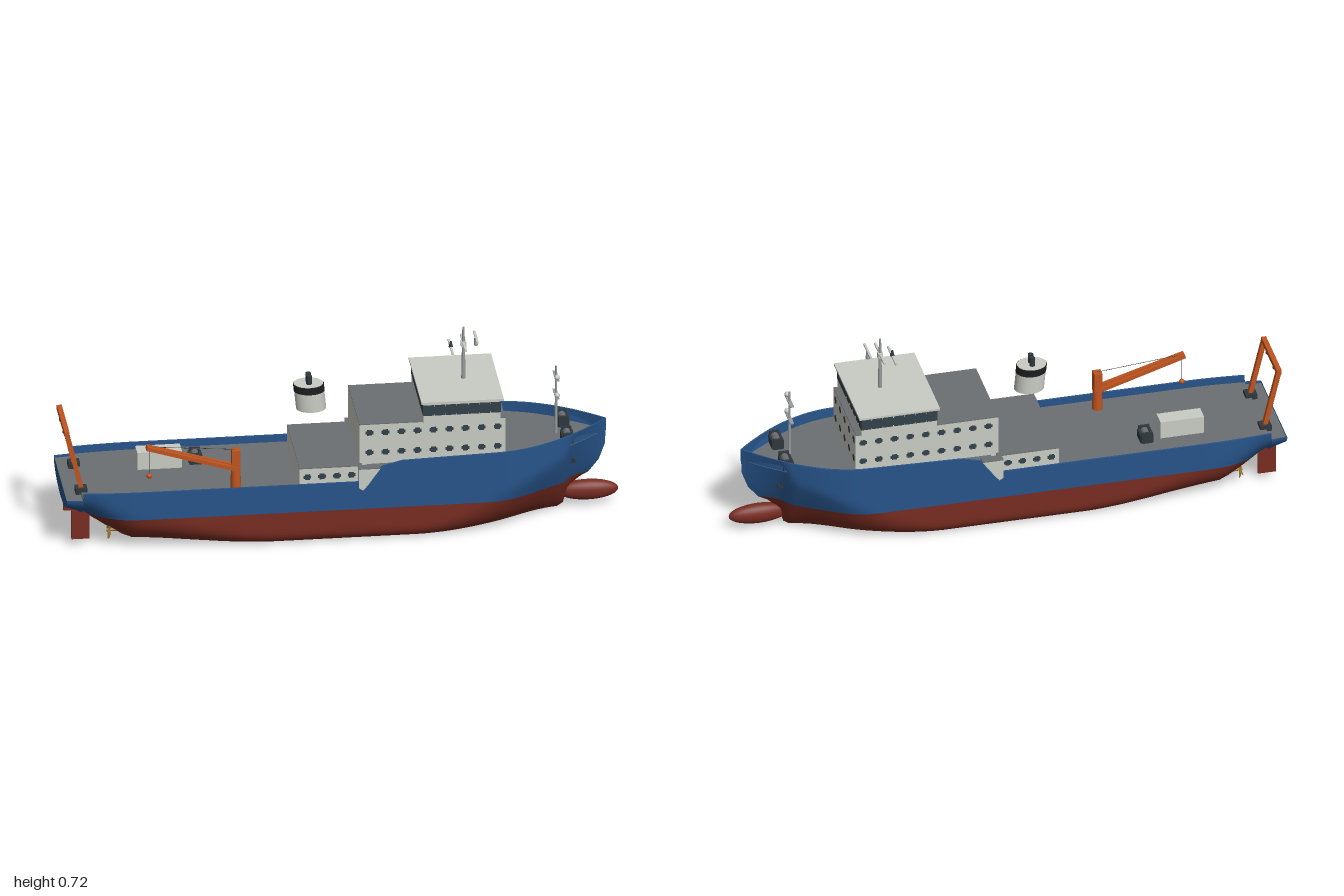
import * as THREE from 'three';
import { toCreasedNormals } from 'three/addons/utils/BufferGeometryUtils.js';

const mat = (name, color, side = THREE.FrontSide) => {
  const m = new THREE.MeshStandardMaterial({ color, side });
  m.name = name;
  return m;
};
const { lerp, clamp, smoothstep } = THREE.MathUtils;

// piecewise linear lookup in [x, value] pairs
function lookup(t, x) {
  if (x <= t[0][0]) return t[0][1];
  for (let i = 1; i < t.length; i++) {
    if (x <= t[i][0]) return lerp(t[i - 1][1], t[i][1], (x - t[i - 1][0]) / (t[i][0] - t[i - 1][0]));
  }
  return t[t.length - 1][1];
}

// skin between rows of points
function loft(rows) {
  const out = [];
  const tri = (a, b, c) => {
    const area = b.clone().sub(a).cross(c.clone().sub(a)).length();
    if (area > 1e-9) [a, b, c].forEach((p) => out.push(p.x, p.y, p.z));
  };
  for (let i = 0; i + 1 < rows.length; i++) {
    for (let j = 0; j + 1 < rows[i].length; j++) {
      const [a, b, c, d] = [rows[i][j], rows[i + 1][j], rows[i + 1][j + 1], rows[i][j + 1]];
      tri(a, b, c);
      tri(a, c, d);
    }
  }
  const g = new THREE.BufferGeometry();
  g.setAttribute('position', new THREE.Float32BufferAttribute(out, 3));
  return toCreasedNormals(g, 0.6);
}

// hull rules along the length
const WATERLINE = 0.128;
const KEEL = [[-1, 0.14], [-0.95, 0.115], [-0.84, 0.04], [-0.77, 0], [0.78, 0], [0.8, 0.012], [0.815, 0.06],
  [0.84, 0.1], [0.893, 0.128], [0.93, 0.175], [0.952, 0.235], [0.957, 0.335]];
const TOP = [[-0.941, 0.207], [-0.94, 0.235], [0.045, 0.235], [0.13, 0.292], [0.2, 0.31], [0.6, 0.322], [0.957, 0.335]];
const DECK = [[-0.941, 0.2], [-0.94, 0.208], [0.06, 0.208], [0.08, 0.28], [0.957, 0.29]];
const halfBeam = (x) => {
  if (x > 0.55) return 0.215 * Math.max(0, 1 - ((x - 0.55) / 0.407) ** 1.9);
  return 0.215 - 0.02 * Math.max(0, (-0.7 - x) / 0.3) ** 2;
};
function station(x) {
  const k = lookup(KEEL, x), top = lookup(TOP, x), b = halfBeam(x);
  const fore = smoothstep(x, 0.25, 0.85), aft = smoothstep(-x, 0.25, 0.85);
  const rise = Math.min(0.05 + 0.2 * fore + 0.1 * aft, top - k);
  const inset = Math.min(b, lerp(0.05, b, fore) + 0.15 * aft);
  // round bilge amidships, blending to a V with flare at the bow
  const z = (y) => {
    const s = rise > 1e-5 ? clamp((y - k) / rise, 0, 1) : 1;
    const round = Math.sqrt(1 - (1 - s) ** 2);
    return b - inset * (1 - lerp(round, s ** 0.75, fore * fore));
  };
  return { k, top, b, z, w: Math.max(k, WATERLINE) };
}

export function createModel() {
  const ship = new THREE.Group();
  ship.name = 'supportShip';
  const blue = mat('hullBlue', 0x27548a, THREE.DoubleSide);
  const red = mat('bottomRed', 0x782c21, THREE.DoubleSide);
  const gray = mat('deckGray', 0x6b6f72, THREE.DoubleSide);
  const light = mat('houseLight', 0xc9ccc4);
  const dark = mat('machineryDark', 0x2f383e);
  const glass = mat('windowGlass', 0x33414a);
  const black = mat('funnelBlack', 0x1e1e20);
  const orange = mat('craneOrange', 0xc0541f);
  const bronze = mat('propellerBronze', 0xa07c40);
  const steel = mat('mastSteel', 0x969b9c);

  const add = (name, geo, m, x = 0, y = 0, z = 0) => {
    const o = new THREE.Mesh(geo, m);
    o.name = name;
    o.position.set(x, y, z);
    ship.add(o);
    return o;
  };
  // box given by its limits
  const box = (name, m, x0, x1, y0, y1, z0, z1) =>
    add(name, new THREE.BoxGeometry(x1 - x0, y1 - y0, z1 - z0), m, (x0 + x1) / 2, (y0 + y1) / 2, (z0 + z1) / 2);
  const cyl = (name, m, r0, r1, y0, y1, x, z, n = 16) =>
    add(name, new THREE.CylinderGeometry(r1, r0, y1 - y0, n), m, x, (y0 + y1) / 2, z);
  // straight beam between two points
  const beam = (name, m, a, b, w, square = true) => {
    const p = new THREE.Vector3(...a), q = new THREE.Vector3(...b), d = q.clone().sub(p), l = d.length();
    const g = square ? new THREE.BoxGeometry(w, l, w) : new THREE.CylinderGeometry(w / 2, w / 2, l, 10);
    const o = add(name, g, m);
    o.position.copy(p).add(q).multiplyScalar(0.5);
    o.quaternion.setFromUnitVectors(new THREE.Vector3(0, 1, 0), d.normalize());
    return o;
  };

  // hull
  const xs = [-0.941, 0.045, 0.06, 0.08, 0.13, 0.78, 0.815, 0.893, 0.952, 0.957];
  for (let i = 0; i <= 64; i++) xs.push(-1 + i * 0.03);
  for (let i = 0; i <= 6; i++) xs.push(0.925 + i * 0.005);
  xs.sort((a, b) => a - b);
  const V = (x, y, z) => new THREE.Vector3(x, y, z);
  const bottomRow = (x) => {
    const s = station(x), side = [];
    for (let j = 0; j <= 12; j++) {
      const y = lerp(s.k, s.w, (j / 12) ** 2);
      side.push([y, s.z(y)]);
    }
    return [...side.slice().reverse().map(([y, z]) => V(x, y, -z)), ...side.map(([y, z]) => V(x, y, z))];
  };
  const sideRow = (x, sign, inner = true) => {
    const s = station(x), row = [], zi = Math.max(s.b - 0.007, 0);
    for (let j = 0; j <= 8; j++) {
      const y = lerp(s.w, s.top, j / 8);
      row.push(V(x, y, sign * s.z(y)));
    }
    if (inner) row.push(V(x, s.top, sign * zi), V(x, lookup(DECK, x) - 0.004, sign * zi));
    return row;
  };
  add('hullBottom', loft(xs.map(bottomRow)), red);
  for (const s of [-1, 1]) add('hullSide', loft(xs.map((x) => sideRow(x, s))), blue);
  add('transom', loft([sideRow(-1, -1, false), sideRow(-1, 1, false)]), blue);
  add('deck', loft(xs.filter((x) => x < 0.945).map((x) => {
    const y = lookup(DECK, x), z = Math.max(halfBeam(x) - 0.005, 0);
    return [V(x, y, z), V(x, y, -z)];
  })), gray);
  add('bulbousBow', new THREE.SphereGeometry(1, 32, 20), red, 0.89, 0.058, 0).scale.set(0.11, 0.038, 0.03);

  // rudders, propellers, anchors and side steps
  const stepShape = new THREE.Shape([[0.045, 0.283], [0.045, 0.21], [0.06, 0.2], [0.078, 0.222], [0.098, 0.25],
    [0.122, 0.283]].map((p) => new THREE.Vector2(...p)));
  for (const s of [-1, 1]) {
    box('rudder', red, -0.975, -0.91, 0.025, 0.135, s * 0.12 - 0.006, s * 0.12 + 0.006);
    beam('propellerShaft', bronze, [-0.85, 0.058, s * 0.13], [-0.76, 0.058, s * 0.13], 0.012, false);
    for (let i = 0; i < 4; i++) {
      const blade = add('propellerBlade', new THREE.BoxGeometry(0.004, 0.032, 0.014).translate(0, 0.017, 0),
        bronze, -0.842, 0.058, s * 0.13);
      blade.rotation.set(i * Math.PI / 2, 0.5, 0);
    }
    const az = station(0.825).z(0.215);
    box('anchorShank', dark, 0.822, 0.829, 0.2, 0.226, s * az - 0.004, s * az + 0.004);
    for (const x of [0.813, 0.834]) box('anchorFluke', dark, x - 0.004, x + 0.004, 0.2, 0.214, s * az - 0.004, s * az + 0.004);
    box('anchorCrown', dark, 0.811, 0.838, 0.2, 0.206, s * az - 0.004, s * az + 0.004);
    add('sideStep', new THREE.ExtrudeGeometry(stepShape, { depth: 0.033, bevelEnabled: false }), light,
      0, 0, s > 0 ? 0.183 : -0.216);
    box('stepTop', gray, 0.045, 0.122, 0.283, 0.286, s * 0.1995 - 0.0165, s * 0.1995 + 0.0165);
  }

  // deckhouses with gray roofs
  const house = (name, x0, x1, y0, y1, h) => {
    box(name, light, x0, x1, y0, y1, -h, h);
    box(name + 'Roof', gray, x0, x1, y1, y1 + 0.003, -h, h);
  };
  house('lowerHouse', -0.165, 0.06, 0.2, 0.282, 0.185);
  house('mainHouse', 0.052, 0.575, 0.2, 0.434, 0.165);
  box('bridge', light, 0.28, 0.557, 0.435, 0.516, -0.177, 0.177);
  box('bridgeWindows', glass, 0.279, 0.558, 0.463, 0.504, -0.178, 0.178);
  box('bridgeRoof', light, 0.272, 0.567, 0.513, 0.521, -0.191, 0.191);
  for (const z of [-0.135, -0.09, -0.045, 0, 0.045, 0.09, 0.135]) for (const y of [0.465, 0.5]) {
    box('mullion', light, 0.557, 0.559, y - 0.002, y + 0.004, z - 0.001, z + 0.001);
  }
  for (const s of [-1, 1]) for (let i = 1; i < 7; i++) for (const y of [0.465, 0.5]) {
    const x = 0.28 + i * 0.04;
    box('mullion', light, x - 0.001, x + 0.001, y - 0.002, y + 0.004, s * 0.178 - 0.001, s * 0.178 + 0.001);
  }

  // cross-shaped windows, almost flush with the walls
  const flush = 0.0003;
  const sideWindow = (x, y, z) => {
    for (const [w, h] of [[0.014, 0.006], [0.009, 0.011]]) box('window', glass, x - w, x + w, y - h, y + h, z - flush, z + flush);
  };
  for (const s of [-1, 1]) {
    for (const y of [0.325, 0.402]) for (let i = 0; i < 9; i++) sideWindow(0.088 + i * 0.0575, y, s * 0.165);
    for (let i = 0; i < 4; i++) sideWindow(-0.137 + i * 0.053, 0.25, s * 0.185);
  }
  for (const y of [0.325, 0.402]) for (let i = -2; i <= 2; i++) {
    for (const [w, h] of [[0.016, 0.007], [0.009, 0.013]]) {
      box('frontWindow', glass, 0.575 - flush, 0.575 + flush, y - h, y + h, i * 0.067 - w, i * 0.067 + w);
    }
  }

  // raked funnel with a light top and exhaust pipes
  const funnelPart = (name, m, y0, y1, r) => {
    const g = new THREE.CylinderGeometry(r, r, y1 - y0, 32);
    g.scale(1.2, 1, 1).translate(0, (y0 + y1) / 2, 0);
    const p = g.attributes.position;
    for (let i = 0; i < p.count; i++) p.setX(i, p.getX(i) - 0.1 * (p.getY(i) - 0.485));
    add(name, g, m, -0.106);
  };
  funnelPart('funnel', light, 0.435, 0.505, 0.045);
  funnelPart('funnelBand', black, 0.505, 0.532, 0.046);
  funnelPart('funnelTop', light, 0.532, 0.534, 0.044);
  for (const z of [-0.012, 0.012]) cyl('exhaustPipe', dark, 0.01, 0.01, 0.532, 0.567, -0.11, z);

  // main mast with yard and radars
  cyl('mainMast', steel, 0.008, 0.004, 0.52, 0.722, 0.445, 0);
  box('mastHead', light, 0.436, 0.454, 0.645, 0.666, -0.01, 0.01);
  for (const [x, y, h] of [[0.4, 0.645, 0.06], [0.445, 0.66, 0.07], [0.49, 0.678, 0.049]]) {
    box('radarBar', light, x - 0.004, x + 0.004, y - 0.0035, y + 0.0035, -h, h);
  }
  cyl('radarPost', dark, 0.008, 0.003, 0.646, 0.668, 0.4, 0, 10);
  cyl('radarPost', steel, 0.008, 0.006, 0.648, 0.678, 0.49, 0, 10);

  // foremast with lamps
  cyl('foremast', steel, 0.006, 0.003, 0.28, 0.55, 0.777, 0);
  for (const y of [0.44, 0.51]) {
    box('lampArm', steel, 0.77, 0.784, y - 0.002, y + 0.002, -0.04, 0.045);
    add('lamp', new THREE.SphereGeometry(0.01, 16, 12), light, 0.777, y + 0.01, 0.034);
  }

  // winches and deck cargo
  const winch = (x, z, y, w, d) => {
    box('winchBase', dark, x - w, x + w, y, y + 0.008, z - d, z + d);
    for (const s of [-1, 1]) box('winchCheek', dark, x - w, x + w, y, y + 0.042, z + s * d - 0.005, z + s * d + 0.005);
    beam('winchDrum', gray, [x, y + 0.024, z - d], [x, y + 0.024, z + d], 0.028, false);
    for (const s of [-1, 1]) box('winchRail', dark, x + s * w - 0.004, x + s * w + 0.004, y, y + 0.03, z - d, z + d);
  };
  for (const s of [-1, 1]) winch(0.808, s * 0.072, 0.288, 0.018, 0.03);
  winch(-0.507, -0.085, 0.208, 0.02, 0.026);
  box('container', light, -0.72, -0.56, 0.208, 0.275, -0.095, -0.035);

  // deck crane with hook
  cyl('craneColumn', orange, 0.019, 0.017, 0.208, 0.3, -0.39, 0.155);
  box('craneHead', orange, -0.405, -0.375, 0.28, 0.36, 0.139, 0.171);
  for (const s of [-1, 1]) beam('craneBoom', orange, [-0.385, 0.287, 0.155 + s * 0.013], [-0.71, 0.385, 0.155 + s * 0.008], 0.014);
  for (let i = 0; i < 6; i++) {
    const t = i / 5, x = -0.43 - 0.27 * t, y = 0.3 + 0.082 * t;
    beam('boomTie', orange, [x, y, 0.144], [x, y, 0.166], 0.009);
  }
  beam('craneCable', dark, [-0.39, 0.36, 0.155], [-0.71, 0.387, 0.155], 0.002, false);
  beam('hookCable', dark, [-0.7, 0.383, 0.155], [-0.7, 0.275, 0.155], 0.002, false);
  add('craneHook', new THREE.SphereGeometry(0.01, 12, 8), orange, -0.7, 0.273, 0.155);

  // stern gantry
  for (const s of [-1, 1]) {
    box('gantryFoot', dark, -0.96, -0.918, 0.2, 0.222, s * 0.108 - 0.02, s * 0.108 + 0.02);
    beam('gantryLeg', orange, [-0.938, 0.215, s * 0.108], [-0.99, 0.435, s * 0.108], 0.017);
    add('gantryBlock', new THREE.SphereGeometry(0.009, 12, 8), dark, -0.99, 0.415, s * 0.05);
  }
  beam('gantryBeam', orange, [-0.99, 0.433, -0.116], [-0.99, 0.433, 0.116], 0.018);

  return ship;
}
